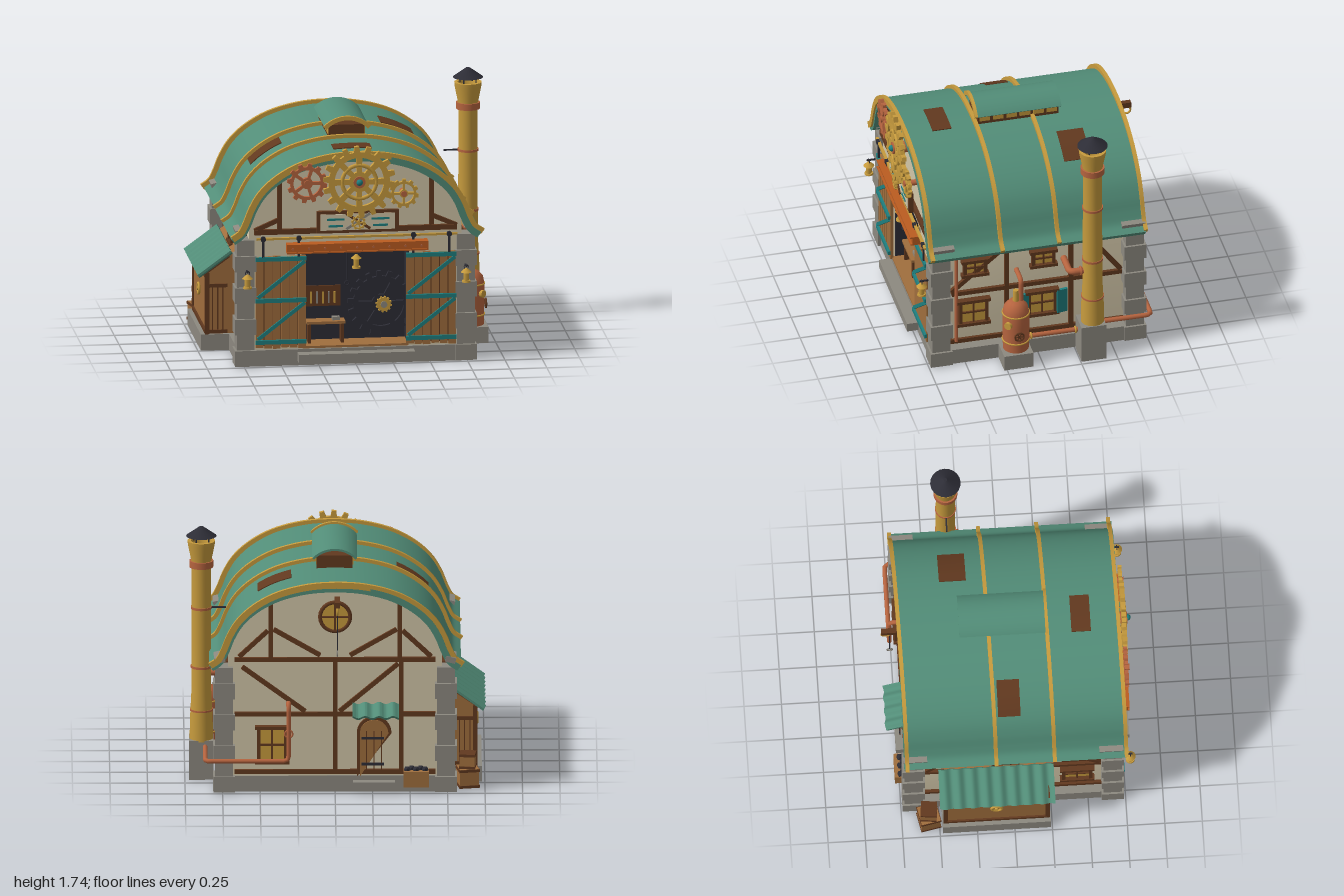
import * as THREE from 'three';
import { toCreasedNormals } from 'three/addons/utils/BufferGeometryUtils.js';

const material = (name, color) => Object.assign(new THREE.MeshStandardMaterial({ color }), { name });
const M = {
  plaster: material('plaster', 0xd2c6a8), green: material('roof green', 0x528d78), stone: material('stone', 0x8d8980),
  timber: material('dark timber', 0x62391f), wood: material('plank wood', 0xa06e3d), brass: material('brass', 0xc79b3d),
  copper: material('copper', 0xb6643f), iron: material('iron', 0x2d2d36), teal: material('teal paint', 0x1f8080),
  rust: material('rust orange', 0xbb5c20),
};
const V = (x, y, z) => new THREE.Vector3(x, y, z);

function add(p, name, mat, geo, pos = [0, 0, 0], rot = [0, 0, 0]) {
  const m = new THREE.Mesh(geo, mat);
  m.name = name; m.position.set(...pos); m.rotation.set(...rot); p.add(m);
  return m;
}
function group(p, name, pos = [0, 0, 0], yaw = 0) {
  const g = new THREE.Group();
  g.name = name; g.position.set(...pos); g.rotation.y = yaw; p.add(g);
  return g;
}
const box = (p, name, mat, size, pos, rz = 0, ry = 0) => add(p, name, mat, new THREE.BoxGeometry(...size), pos, [0, ry, rz]);
const cyl = (p, name, mat, r0, r1, h, pos, rot, n = 20) => add(p, name, mat, new THREE.CylinderGeometry(r0, r1, h, n), pos, rot);
const ring = (p, name, mat, r, t, pos, rot) => add(p, name, mat, new THREE.TorusGeometry(r, t, 8, 24), pos, rot);
const beam = (p, x1, y1, x2, y2, mat = M.timber, t = 0.03, d = 0.03, z = 0, name = 'timber') =>
  box(p, name, mat, [Math.hypot(x2 - x1, y2 - y1), t, d], [(x1 + x2) / 2, (y1 + y2) / 2, z], Math.atan2(y2 - y1, x2 - x1));
const extrude = (shape, depth) => toCreasedNormals(new THREE.ExtrudeGeometry(shape, { depth, bevelEnabled: false, curveSegments: 16 }), 0.6);

// Pipe with rounded elbows along a list of points
function pipe(p, name, mat, pts, r = 0.016) {
  const path = new THREE.CurvePath(), v = pts.map(a => V(...a));
  let prev = v[0];
  for (let i = 1; i < v.length - 1; i++) {
    const cut = 0.035, a = v[i].clone().add(v[i - 1].clone().sub(v[i]).setLength(cut)), b = v[i].clone().add(v[i + 1].clone().sub(v[i]).setLength(cut));
    path.add(new THREE.LineCurve3(prev, a)); path.add(new THREE.QuadraticBezierCurve3(a, v[i], b)); prev = b;
  }
  path.add(new THREE.LineCurve3(prev, v[v.length - 1]));
  return add(p, name, mat, new THREE.TubeGeometry(path, 48, r, 10));
}

// Toothed wheel with spokes, facing +z
function gear(p, name, mat, R, teeth, spokes, depth, pos) {
  const s = new THREE.Shape(), root = R * 0.84, rim = R * 0.68, hub = R * 0.28, step = Math.PI * 2 / teeth;
  for (let i = 0; i < teeth; i++) [[0, root], [0.42, root], [0.52, R], [0.88, R]].forEach(([f, r], k) => {
    const a = (i + f) * step;
    s[i + k ? 'lineTo' : 'moveTo'](Math.cos(a) * r, Math.sin(a) * r);
  });
  for (let i = 0; i < spokes; i++) {
    const a = i * Math.PI * 2 / spokes, b = a + Math.PI * 2 / spokes, h = new THREE.Path();
    h.absarc(0, 0, rim, a + 0.12, b - 0.12, false); h.absarc(0, 0, hub, b - 0.25, a + 0.25, true); s.holes.push(h);
  }
  return add(p, name, mat, extrude(s, depth), pos);
}

// Barrel roof curve with flared eaves, offset along its normal and cut to an x range
const half = [[0.84, 0.885], [0.785, 0.925], [0.75, 0.99], [0.71, 1.09], [0.65, 1.19], [0.55, 1.285], [0.4, 1.37], [0.2, 1.425]];
const roofCurve = new THREE.CatmullRomCurve3([...half.map(a => V(...a, 0)), V(0, 1.44, 0), ...half.map(a => V(-a[0], a[1], 0)).reverse()]);
function arc(o, xa = -1, xb = 1) {
  const out = [];
  for (let i = 0; i <= 100; i++) {
    const c = roofCurve.getPoint(i / 100), t = roofCurve.getTangent(i / 100);
    if (c.x >= xa && c.x <= xb) out.push(new THREE.Vector2(c.x + t.y * o, c.y - t.x * o));
  }
  return out;
}
const roofBand = (p, name, mat, z0, z1, inner, outer, xa, xb) =>
  add(p, name, mat, extrude(new THREE.Shape([...arc(outer, xa, xb), ...arc(inner, xa, xb).reverse()]), z1 - z0), [0, 0, z0]);

// Wavy sheet sloping down from its upper edge
function corrugated(p, name, w, len, tilt, pos, yaw) {
  const top = [], low = [];
  for (let i = 0; i <= 72; i++) {
    const x = w * (i / 72 - 0.5), y = 0.01 * Math.sin(x * 68);
    top.push(new THREE.Vector2(x, y + 0.008)); low.unshift(new THREE.Vector2(x, y - 0.008));
  }
  add(p, name, M.green, extrude(new THREE.Shape([...top, ...low]), len), pos).rotation.set(tilt, yaw, 0, 'YXZ');
}

function windowUnit(p, x, y, w, h) {
  const g = group(p, 'window', [x, y, 0]);
  box(g, 'glass', M.brass, [w, h, 0.008], [0, 0, 0.006]);
  for (const s of [-1, 1]) {
    box(g, 'frameSide', M.timber, [0.022, h + 0.02, 0.035], [s * w / 2, 0, 0.012]);
    box(g, 'frameRail', M.timber, [w + 0.05, 0.022, 0.045], [0, s * h / 2, 0.015]);
  }
  box(g, 'mullion', M.timber, [0.012, h, 0.02], [0, 0, 0.012]);
  box(g, 'transom', M.timber, [w, 0.012, 0.02], [0, 0, 0.012]);
}
function lantern(p, x, y, z) {
  const g = group(p, 'lantern', [x, y, z]);
  cyl(g, 'lanternBase', M.brass, 0.028, 0.03, 0.012, [0, -0.04, 0]);
  cyl(g, 'lanternGlass', M.brass, 0.02, 0.02, 0.06, [0, -0.005, 0], [0, 0, 0], 8);
  cyl(g, 'lanternCap', M.brass, 0.008, 0.036, 0.028, [0, 0.035, 0]);
  ring(g, 'lanternHandle', M.iron, 0.014, 0.003, [0, 0.058, 0]);
}

export function createModel() {
  const root = new THREE.Group(); root.name = 'workshop';

  // Stone footing, step and corner piers
  box(root, 'foundation', M.stone, [1.58, 0.11, 1.42], [0, 0.055, 0.01]);
  box(root, 'annexFooting', M.stone, [0.2, 0.11, 0.72], [-0.88, 0.055, -0.12]);
  box(root, 'boilerFooting', M.stone, [0.17, 0.11, 0.2], [0.865, 0.055, 0.17]);
  box(root, 'frontStep', M.stone, [0.78, 0.06, 0.1], [0, 0.06, 0.75]);
  box(root, 'backStep', M.stone, [0.28, 0.06, 0.08], [-0.26, 0.05, -0.72]);
  for (const sx of [-1, 1]) for (const sz of [-1, 1]) {
    const g = group(root, 'cornerPier', [sx * 0.74, 0, sz * 0.665]);
    for (let i = 0; i < 8; i++) box(g, 'pierStone', M.stone, [i % 2 ? 0.12 : 0.145, 0.106, i % 2 ? 0.125 : 0.15], [0, 0.06 + i * 0.108, 0]);
    box(g, 'pierCap', M.stone, [0.07, 0.04, 0.16], [sx * 0.03, 0.925, -sz * 0.01], -sx * 0.25);
  }

  // Plaster body, with a doorway in the front slab
  const gable = () => new THREE.Shape([[-0.72, 0.1], [0.72, 0.1]].map(a => new THREE.Vector2(...a)).concat(arc(-0.03, -0.745, 0.745).filter(v => Math.abs(v.x) < 0.721)));
  add(root, 'body', M.plaster, extrude(gable(), 1.22), [0, 0, -0.69]);
  const front = gable();
  front.holes.push(new THREE.Path([[-0.36, 0.12], [-0.36, 0.82], [0.36, 0.82], [0.36, 0.12]].map(a => new THREE.Vector2(...a))));
  add(root, 'frontSlab', M.plaster, extrude(front, 0.17), [0, 0, 0.53]);
  box(root, 'interiorBack', M.iron, [0.72, 0.7, 0.008], [0, 0.47, 0.535]);
  for (const s of [-1, 1]) box(root, 'interiorSide', M.iron, [0.008, 0.7, 0.165], [s * 0.356, 0.47, 0.615]);
  box(root, 'interiorCeiling', M.iron, [0.72, 0.008, 0.165], [0, 0.816, 0.615]);
  box(root, 'interiorFloor', M.wood, [0.71, 0.015, 0.2], [0, 0.122, 0.62]);

  // Inside the doorway: bench, tool board and large wheel
  box(root, 'benchTop', M.wood, [0.26, 0.018, 0.1], [-0.19, 0.27, 0.61]);
  for (const x of [-0.3, -0.08]) box(root, 'benchLeg', M.timber, [0.02, 0.14, 0.08], [x, 0.195, 0.61]);
  box(root, 'viceBlock', M.stone, [0.05, 0.025, 0.04], [-0.12, 0.29, 0.61]);
  box(root, 'toolBoard', M.timber, [0.24, 0.14, 0.012], [-0.2, 0.43, 0.545]);
  for (let i = 0; i < 5; i++) box(root, 'hangingTool', i % 2 ? M.stone : M.brass, [0.012, 0.08, 0.008], [-0.28 + i * 0.04, 0.42, 0.555]);
  gear(root, 'interiorWheel', M.iron, 0.225, 18, 6, 0.025, [0.19, 0.37, 0.55]);
  gear(root, 'wheelHub', M.brass, 0.055, 12, 0, 0.02, [0.205, 0.37, 0.58]);
  cyl(root, 'hubPin', M.stone, 0.022, 0.022, 0.02, [0.205, 0.37, 0.6], [Math.PI / 2, 0, 0]);

  // Front wall: timbers, sliding doors, track and beam
  const fw = group(root, 'frontWall', [0, 0, 0.705]);
  beam(fw, -0.68, 0.92, 0.68, 0.92, M.timber, 0.035, 0.04);
  for (const s of [-1, 1]) { beam(fw, s * 0.51, 0.93, s * 0.51, 1.27); beam(fw, s * 0.52, 1.0, s * 0.68, 0.93); }
  beam(fw, -0.67, 0.88, 0.68, 0.88, M.brass, 0.014, 0.02, 0.04, 'doorTrack');
  box(fw, 'liftBeam', M.rust, [0.95, 0.06, 0.05], [0.005, 0.815, 0.055]);
  for (const y of [0.788, 0.842]) box(fw, 'beamFlange', M.rust, [0.95, 0.01, 0.075], [0.005, y, 0.055]);
  for (let i = 0; i < 9; i++) cyl(fw, 'rivet', M.copper, 0.008, 0.008, 0.01, [-0.43 + i * 0.108, 0.815, 0.082], [Math.PI / 2, 0, 0], 8);
  for (const s of [-1, 1]) {
    const d = group(fw, 'slidingDoor', [s * 0.505, 0, 0.02]);
    box(d, 'doorBacking', M.timber, [0.335, 0.6, 0.015], [0, 0.44, -0.004]);
    for (let i = 0; i < 6; i++) box(d, 'plank', M.wood, [0.051, 0.62 + (i % 3) * 0.008, 0.022], [-0.142 + i * 0.057, 0.44, 0]);
    for (const y of [0.74, 0.455, 0.17]) beam(d, -0.17, y, 0.17, y, M.teal, 0.028, 0.018, 0.018, 'doorStrap');
    for (const y of [0.72, 0.435]) beam(d, 0.16, y, -0.155, y - 0.245, M.teal, 0.024, 0.014, 0.017, 'doorBrace');
    for (const x of [-0.12, 0.12]) { box(d, 'hanger', M.iron, [0.016, 0.14, 0.012], [x, 0.81, 0.02]); cyl(d, 'roller', M.iron, 0.018, 0.018, 0.02, [x, 0.88, 0.025], [Math.PI / 2, 0, 0]); }
    lantern(root, s * 0.735, 0.6, 0.785);
    box(root, 'lanternBracket', M.iron, [0.01, 0.01, 0.07], [s * 0.735, 0.665, 0.765]);
  }
  lantern(root, 0, 0.71, 0.75);
  pipe(root, 'hoistRope', M.iron, [[-0.06, 0.8, 0.72], [-0.06, 0.58, 0.72]], 0.004);
  ring(root, 'hoistHook', M.iron, 0.014, 0.004, [-0.06, 0.555, 0.72]);

  // Emblem board and the gear train over the doors
  box(fw, 'boardFrame', M.timber, [0.55, 0.15, 0.03], [0.01, 0.985, 0.04]);
  box(fw, 'boardPanel', M.plaster, [0.5, 0.11, 0.008], [0.01, 0.985, 0.057]);
  for (const s of [-1, 1]) for (let i = 0; i < 2; i++) box(fw, 'boardStripe', M.teal, [0.12 - i * 0.02, 0.014, 0.008], [0.01 + s * 0.15, 1.005 - i * 0.045, 0.062]);
  for (const s of [-1, 1]) beam(fw, 0.01 - s * 0.08, 0.94, 0.01 + s * 0.08, 1.045, s > 0 ? M.stone : M.timber, 0.018, 0.01, 0.07, 'crossedTool');
  gear(fw, 'boardGear', M.brass, 0.05, 10, 5, 0.015, [0.01, 0.985, 0.078]);
  gear(root, 'mainGear', M.brass, 0.245, 18, 8, 0.03, [0.015, 1.265, 0.77]);
  ring(root, 'mainGearRing', M.brass, 0.115, 0.014, [0.015, 1.265, 0.79]);
  gear(root, 'copperGear', M.copper, 0.135, 12, 5, 0.025, [-0.335, 1.265, 0.77]);
  gear(root, 'smallGear', M.brass, 0.1, 11, 4, 0.025, [0.315, 1.175, 0.77]);
  for (const [x, y, r, l] of [[0.015, 1.265, 0.04, 0.11], [-0.335, 1.265, 0.022, 0.1], [0.315, 1.175, 0.02, 0.1]]) cyl(root, 'gearAxle', M.copper, r, r, l, [x, y, 0.755], [Math.PI / 2, 0, 0]);
  add(root, 'axleCap', M.teal, new THREE.SphereGeometry(0.022, 16, 12), [0.015, 1.265, 0.812]);

  // Side walls: timber frame and windows (local x runs along the wall)
  for (const s of [1, -1]) {
    const w = group(root, s > 0 ? 'leftWall' : 'rightWall', [s * 0.725, 0, 0], s * Math.PI / 2);
    const X = z => -s * z;
    for (const y of [0.14, 0.52, 0.86]) beam(w, -0.6, y, 0.6, y);
    for (const z of [0.2, -0.24]) beam(w, X(z), 0.13, X(z), 0.86);
    beam(w, X(0.22), 0.84, X(0.58), 0.54); beam(w, X(-0.36), 0.84, X(-0.58), 0.54);
    for (const z of [0.42, -0.05]) {
      windowUnit(w, X(z), 0.72, 0.14, 0.11); windowUnit(w, X(z + 0.01), 0.365, 0.18, 0.18);
    }
    for (const z of [0.09, -0.175]) box(w, 'shutter', M.teal, [0.075, 0.18, 0.02], [X(z), 0.365, 0.025], 0, 0.15);
  }

  // Back wall: frame, round window, arched door, awning and hoist
  const bw = group(root, 'backWall', [0, 0, -0.695], Math.PI);
  for (const y of [0.14, 0.54, 0.92]) beam(bw, -0.67, y, 0.67, y);
  for (const s of [-1, 1]) { beam(bw, s * 0.43, 0.93, s * 0.43, 1.32); beam(bw, s * 0.1, 0.95, s * 0.41, 1.13); beam(bw, s * 0.45, 1.12, s * 0.64, 0.94); }
  beam(bw, 0, 0.13, 0, 0.91); beam(bw, 0.03, 0.56, 0.42, 0.89); beam(bw, 0.44, 0.14, 0.44, 0.91); beam(bw, -0.62, 0.87, -0.2, 0.56);
  windowUnit(bw, -0.42, 0.33, 0.18, 0.24);
  cyl(bw, 'roundGlass', M.brass, 0.1, 0.1, 0.02, [0, 1.22, 0.01], [Math.PI / 2, 0, 0], 28);
  ring(bw, 'roundFrame', M.timber, 0.1, 0.014, [0, 1.22, 0.015]);
  beam(bw, 0, 1.12, 0, 1.32, M.timber, 0.012, 0.012, 0.02); beam(bw, -0.1, 1.22, 0.1, 1.22, M.timber, 0.012, 0.012, 0.02);
  for (const [r, d, m, n] of [[0.115, 0.025, M.timber, 'doorSurround'], [0.095, 0.032, M.wood, 'backDoor']]) {
    const s = new THREE.Shape(); s.moveTo(r, 0); s.absarc(0, 0.3, r, 0, Math.PI, false); s.lineTo(-r, 0);
    add(bw, n, m, extrude(s, d), [0.26, 0.11, 0]);
  }
  for (const x of [0.21, 0.26, 0.31]) box(bw, 'plankGap', M.timber, [0.006, 0.3, 0.006], [x, 0.28, 0.033]);
  for (const y of [0.2, 0.38]) box(bw, 'doorHinge', M.iron, [0.15, 0.016, 0.008], [0.25, y, 0.035]);
  corrugated(root, 'backAwning', 0.31, 0.14, 0.45, [-0.27, 0.61, -0.7], Math.PI);
  box(root, 'hoistBeam', M.timber, [0.035, 0.04, 0.16], [-0.015, 1.335, -0.755]);
  ring(root, 'hoistPulley', M.brass, 0.028, 0.007, [-0.015, 1.29, -0.805], [0, Math.PI / 2, 0]);
  pipe(root, 'backRope', M.iron, [[-0.015, 1.29, -0.778], [-0.015, 1.0, -0.778]], 0.004);
  ring(root, 'ropeRing', M.stone, 0.018, 0.005, [-0.015, 0.985, -0.778], [0, Math.PI / 2, 0]);

  // Crates by the back corner
  box(root, 'coalCrate', M.wood, [0.17, 0.11, 0.08], [-0.54, 0.105, -0.74]);
  for (let i = 0; i < 5; i++) add(root, 'coal', M.iron, new THREE.IcosahedronGeometry(0.025), [-0.6 + i * 0.03, 0.163, -0.74 + (i % 2) * 0.02]);
  [[0.13, 0.065, 0.2], [0.1, 0.18, -0.1]].forEach(([a, y, r]) => {
    box(root, 'crate', M.wood, [a, a, a], [-0.885, y, -0.57], 0, r);
    for (const s of [-1, 1]) box(root, 'crateBand', M.timber, [a + 0.008, 0.018, a + 0.008], [-0.885, y + s * a * 0.42, -0.57], 0, r);
  });

  // Roof shell, brass ribs and rust-brown patches
  roofBand(root, 'roof', M.green, -0.73, 0.755, -0.045, 0);
  const ribs = group(root, 'ribs', [0, 0, 0], 0.013);
  for (const z of [-0.72, -0.125, 0.265, 0.745]) roofBand(ribs, 'rib', M.brass, z - 0.013, z + 0.013, -0.018, 0.024);
  for (const [x0, x1, z0, z1] of [[0.28, 0.53, -0.43, -0.25], [-0.63, -0.41, -0.09, 0.06], [-0.13, 0.16, 0.43, 0.56]]) roofBand(root, 'roofPatch', M.timber, z0, z1, -0.003, 0.006, x0, x1);

  // Ridge vent
  box(root, 'ventBody', M.timber, [0.24, 0.12, 0.55], [0, 1.465, -0.03]);
  for (const s of [-1, 1]) for (let i = 0; i < 6; i++) box(root, 'ventPane', M.brass, [0.008, 0.05, 0.072], [s * 0.121, 1.483, -0.26 + i * 0.092]);
  const ventArc = (o) => { const s = new THREE.Shape(), R = 0.205 + o, a = 0.82; s.absarc(0, 0, R, Math.PI / 2 - a, Math.PI / 2 + a, false); s.absarc(0, 0, 0.19, Math.PI / 2 + a, Math.PI / 2 - a, true); return s; };
  add(root, 'ventRoof', M.green, extrude(ventArc(0), 0.58), [0, 1.37, -0.32]);
  add(root, 'ventTrim', M.brass, extrude(ventArc(0.013), 0.02), [0, 1.37, 0.255]);

  // Chimney
  const ch = group(root, 'chimney', [0.89, 0, -0.35]);
  box(ch, 'chimneyBase', M.stone, [0.165, 0.27, 0.17], [0, 0.135, 0.01]);
  const prof = [[0.078, 0.26], [0.076, 0.4], [0.066, 0.6], [0.064, 1.45], [0.07, 1.52], [0.09, 1.62], [0.092, 1.645], [0.07, 1.645], [0.05, 1.55], [0, 1.55]];
  add(ch, 'stack', M.brass, toCreasedNormals(new THREE.LatheGeometry(prof.map(a => new THREE.Vector2(...a)), 28), 0.6));
  for (const [y, r, h] of [[1.485, 0.08, 0.045], [1.18, 0.07, 0.016], [0.77, 0.071, 0.016], [0.47, 0.077, 0.012]]) cyl(ch, 'stackBand', M.copper, r, r, h, [0, y, 0], [0, 0, 0], 28);
  for (let i = 0; i < 4; i++) cyl(ch, 'capPost', M.iron, 0.005, 0.005, 0.06, [0.06 * Math.cos(i * 1.571 + 0.6), 1.665, 0.06 * Math.sin(i * 1.571 + 0.6)], [0, 0, 0], 6);
  cyl(ch, 'chimneyCap', M.iron, 0.012, 0.102, 0.065, [0, 1.71, 0]);
  box(ch, 'roofStay', M.iron, [0.12, 0.01, 0.01], [-0.105, 1.18, 0]);
  pipe(ch, 'fluePipe', M.copper, [[0, 0.68, 0], [0, 0.68, 0.155], [-0.18, 0.68, 0.155]], 0.022);
  ring(ch, 'flueCollar', M.copper, 0.025, 0.008, [0, 0.68, 0.08]);

  // Boiler and copper pipework
  const bo = group(root, 'boiler', [0.845, 0, 0.165]);
  const bp = [[0, 0.11], [0.087, 0.11], [0.09, 0.3], [0.09, 0.39], [0.08, 0.44], [0.05, 0.475], [0, 0.488]];
  add(bo, 'tank', M.copper, toCreasedNormals(new THREE.LatheGeometry(bp.map(a => new THREE.Vector2(...a)), 28), 0.8));
  for (const y of [0.18, 0.39]) ring(bo, 'tankBand', M.brass, 0.09, 0.006, [0, y, 0], [Math.PI / 2, 0, 0]);
  cyl(bo, 'valve', M.brass, 0.018, 0.022, 0.09, [0, 0.52, 0]);
  pipe(bo, 'steamPipe', M.copper, [[0, 0.48, -0.035], [0, 0.64, -0.035], [-0.13, 0.64, -0.035]], 0.017);
  cyl(bo, 'gauge', M.brass, 0.026, 0.026, 0.03, [0.066, 0.33, 0.066], [Math.PI / 2, 0, -Math.PI / 4, 'YXZ']).rotation.set(Math.PI / 2, Math.PI / 4, 0, 'YXZ');
  const wheel = group(bo, 'handwheel', [0.1, 0.25, 0], Math.PI / 2);
  ring(wheel, 'wheelRim', M.timber, 0.03, 0.006);
  for (let i = 0; i < 3; i++) box(wheel, 'wheelSpoke', M.timber, [0.06, 0.007, 0.007], [0, 0, 0], i * Math.PI / 3);
  pipe(root, 'feedPipe', M.copper, [[0.86, 0.19, 0.1], [0.86, 0.19, -0.28]]);
  for (const z of [0.065, -0.24]) ring(root, 'feedCollar', M.brass, 0.018, 0.007, [0.86, 0.19, z]);
  pipe(root, 'wallPipe', M.copper, [[0.75, 0.15, 0.55], [0.75, 0.82, 0.55]], 0.012);
  pipe(root, 'cornerPipe', M.copper, [[0.865, 0.23, -0.4], [0.865, 0.23, -0.76], [0.31, 0.23, -0.76], [0.31, 0.62, -0.76], [0.31, 0.62, -0.68]]);
  ring(root, 'pipeValve', M.copper, 0.026, 0.006, [0.31, 0.42, -0.765]);

  // Lean-to annex
  const prism = new THREE.Shape([[-0.94, 0.11], [-0.72, 0.11], [-0.72, 0.69], [-0.94, 0.535]].map(a => new THREE.Vector2(...a)));
  add(root, 'annex', M.wood, extrude(prism, 0.68), [0, 0, -0.46]);
  corrugated(root, 'annexRoof', 0.77, 0.275, 0.63, [-0.775, 0.675, -0.115], -Math.PI / 2);
  for (const z of [-0.46, 0.22]) {
    box(root, 'annexPost', M.timber, [0.03, 0.42, 0.03], [-0.935, 0.32, z]);
    for (const y of [0.125, 0.44]) beam(root, -0.94, y, -0.8, y, M.timber, 0.024, 0.02, z);
    for (const x of [-0.9, -0.865, -0.83]) box(root, 'annexPlankGap', M.timber, [0.008, 0.3, 0.008], [x, 0.28, z + Math.sign(z) * 0.002]);
    beam(root, -0.96, 0.525, -0.79, 0.645, M.timber, 0.024, 0.03, z);
  }
  for (const y of [0.125, 0.51]) box(root, 'annexRail', M.timber, [0.02, 0.026, 0.68], [-0.942, y, -0.12]);
  ring(root, 'annexRing', M.brass, 0.035, 0.009, [-0.95, 0.34, -0.12], [0, Math.PI / 2, 0]);
  cyl(root, 'annexKnob', M.brass, 0.012, 0.012, 0.02, [-0.95, 0.34, -0.12], [0, 0, Math.PI / 2]);
  return root;
}
